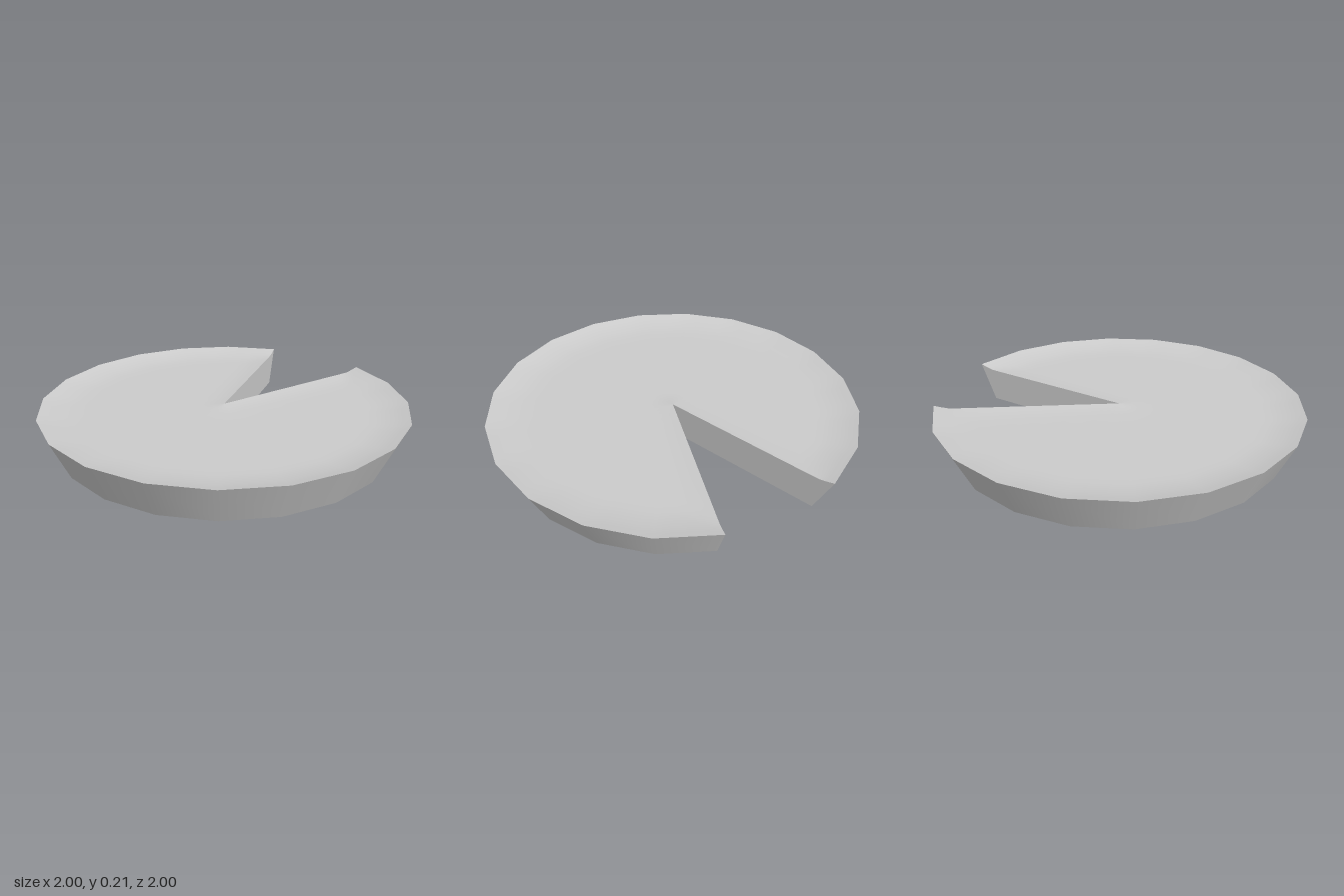
import * as THREE from 'three';

const SEGMENTS = 18;                       // 20-sided disc with two sides missing
const FINE = 4;                            // top subdivisions per side
const STEP = THREE.MathUtils.degToRad(18);
const START = THREE.MathUtils.degToRad(162);
const SWEEP = STEP * SEGMENTS;
const RINGS = [1, 0.96, 0.92, 0.87, 0.82, 0.76, 0.65, 0.5, 0.35, 0.22, 0.12, 0.06, 0];

// Top dips gently inside the rim and the cut edges
function topHeight(radius, cutDistance) {
  const rise = (distance, width) => Math.max(0, 1 - distance / width) ** 2;
  return 0.175 + Math.max(0.032 * rise(1 - radius, 0.22), 0.012 * rise(cutDistance, 0.15));
}

// Finely divided top whose outline keeps the straight sides of the disc
function topGeometry() {
  const profile = RINGS.map((r) => new THREE.Vector2(r, 0));
  const geometry = new THREE.LatheGeometry(profile, SEGMENTS * FINE, START, SWEEP);
  const position = geometry.attributes.position;
  for (let i = 0; i < position.count; i++) {
    const column = Math.floor(i / RINGS.length);
    const radius = RINGS[i % RINGS.length];
    const local = ((column % FINE) / FINE) * STEP;
    const scale = Math.cos(STEP / 2) / Math.cos(local - STEP / 2);
    const edgeAngle = Math.min(column, SEGMENTS * FINE - column) * STEP / FINE;
    const cutDistance = radius * Math.sin(Math.min(edgeAngle, Math.PI / 2));
    position.setXYZ(i, position.getX(i) * scale, topHeight(radius, cutDistance), position.getZ(i) * scale);
  }
  geometry.computeVertexNormals();
  return geometry;
}

export function createModel() {
  const group = new THREE.Group();
  group.name = 'pie';
  const material = new THREE.MeshStandardMaterial({ color: 0xcccccc });
  const cutMaterial = new THREE.MeshStandardMaterial({ color: 0xcccccc, side: THREE.DoubleSide });

  const add = (name, geometry, mat = material) => {
    const mesh = new THREE.Mesh(geometry, mat);
    mesh.name = name;
    group.add(mesh);
    return mesh;
  };
  const turned = (...points) => new THREE.LatheGeometry(points, SEGMENTS, START, SWEEP);

  // Separate surfaces keep the rim edges sharp
  const bottomCentre = new THREE.Vector2(0, 0);
  const bottomRim = new THREE.Vector2(0.905, 0);
  const edge = RINGS.map((r) => new THREE.Vector2(r, topHeight(r, 0)));
  add('base', turned(bottomCentre, bottomRim));
  add('crustSide', turned(bottomRim, edge[0]));
  add('top', topGeometry());

  // Walls of the missing slice
  const cutGeometry = new THREE.ShapeGeometry(new THREE.Shape([bottomCentre, bottomRim, ...edge]));
  [['cutWallBack', START], ['cutWallLeft', START + SWEEP]].forEach(([name, phi]) => {
    add(name, cutGeometry, cutMaterial).rotation.y = phi - Math.PI / 2;
  });

  return group;
}
